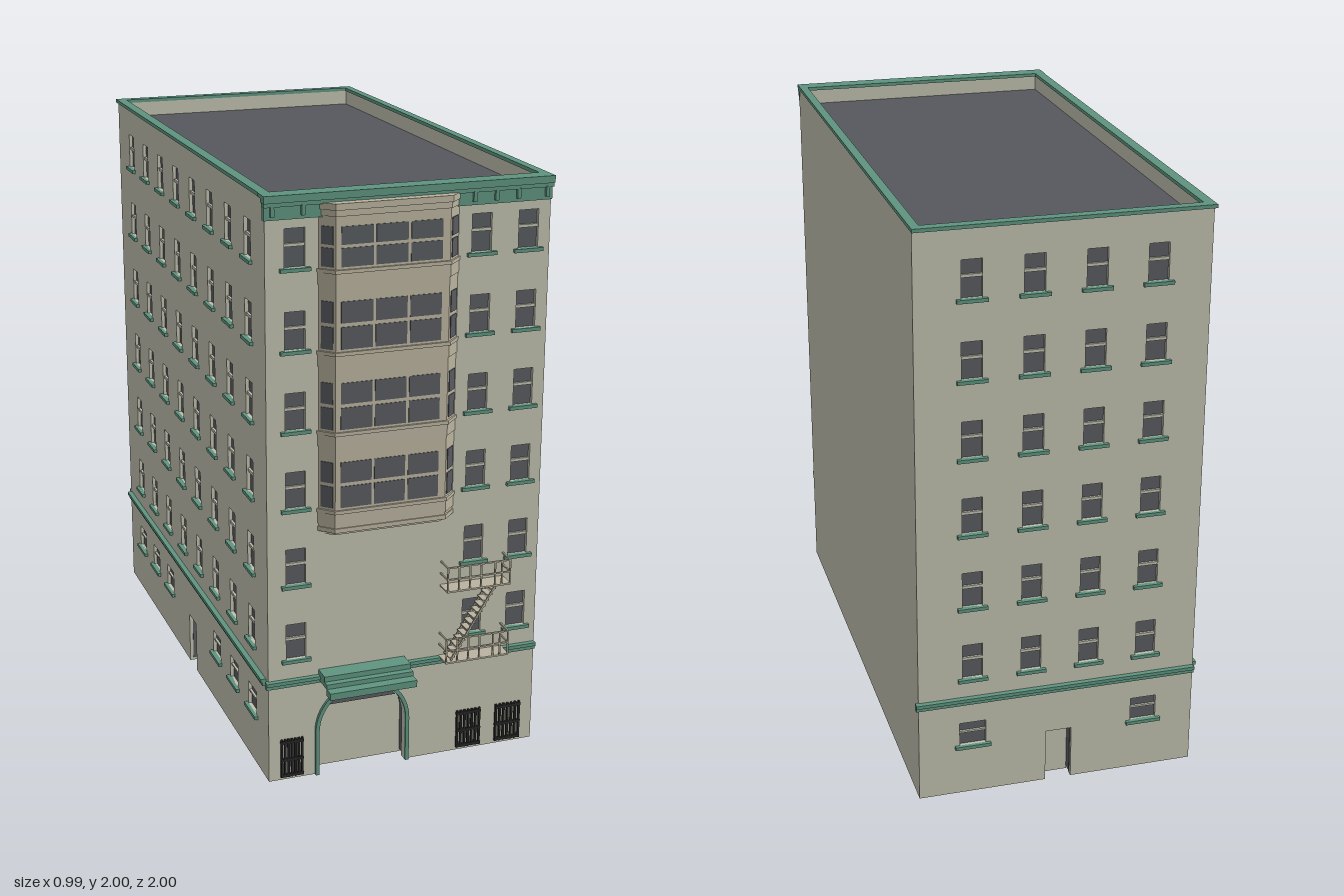
import * as THREE from 'three';

const mat = (name, color, side = THREE.FrontSide) => {
  const m = new THREE.MeshStandardMaterial({ color, side });
  m.name = name;
  return m;
};

export function createModel() {
  const M = {
    wall: mat('stone wall', 0xbfbfae),
    bay: mat('bay stone', 0xbab39f),
    glass: mat('dark glass', 0x585b60, THREE.DoubleSide),
    roof: mat('roof grey', 0x55585d),
    green: mat('green trim', 0x5f9480),
    iron: mat('black iron', 0x262626),
  };
  const model = new THREE.Group();
  model.name = 'building';

  const add = (parent, name, geo, m) => {
    const mesh = new THREE.Mesh(geo, m);
    mesh.name = name;
    parent.add(mesh);
    return mesh;
  };
  // box given by its limits on each axis
  const box = (parent, name, m, x0, x1, y0, y1, z0, z1) => {
    const mesh = add(parent, name, new THREE.BoxGeometry(x1 - x0, y1 - y0, z1 - z0), m);
    mesh.position.set((x0 + x1) / 2, (y0 + y1) / 2, (z0 + z1) / 2);
    return mesh;
  };

  const T = 0.025;
  const rows = [0.44, 0.705, 0.97, 1.235, 1.5, 1.765];

  const rectPath = (x0, x1, y0, y1) => new THREE.Path()
    .moveTo(x0, y0).lineTo(x1, y0).lineTo(x1, y1).lineTo(x0, y1).closePath();

  // round-headed opening outline
  const archPath = (P, cx, r, spring) => {
    const p = new P();
    p.moveTo(cx - r, 0).lineTo(cx - r, spring);
    p.absarc(cx, spring, r, Math.PI, 0, true);
    p.lineTo(cx + r, 0);
    return p;
  };

  // a pierced wall; its outer face is local z = 0, facing +z
  const makeWall = (name, x0, x1, o) => {
    const g = new THREE.Group();
    g.name = name;
    model.add(g);
    const s = new THREE.Shape();
    s.moveTo(x0, 0);
    if (o.arch) {
      const { cx, r, spring } = o.arch;
      s.lineTo(cx - r, 0).lineTo(cx - r, spring);
      s.absarc(cx, spring, r, Math.PI, 0, true);
      s.lineTo(cx + r, 0);
    }
    if (o.door !== undefined) {
      const a = o.door - 0.045, b = o.door + 0.045;
      s.lineTo(a, 0).lineTo(a, 0.19).lineTo(b, 0.19).lineTo(b, 0);
      box(g, 'doorPanel', M.wall, a, b, 0, 0.19, -0.05, -0.045);
      for (const x of [a, b]) box(g, 'doorJamb', M.glass, x - 0.002, x + 0.002, 0.01, 0.19, -0.12, -0.012);
    }
    s.lineTo(x1, 0).lineTo(x1, 1.99).lineTo(x0, 1.99).closePath();
    const windowAt = (x, y, w, h) => {
      const a = x - w / 2, b = x + w / 2;
      s.holes.push(rectPath(a, b, y, y + h));
      box(g, 'windowGlass', M.glass, a, b, y, y + h, -0.018, -0.012);
      box(g, 'windowRail', M.wall, a, b, y + h * 0.53, y + h * 0.61, -0.013, -0.004);
      box(g, 'windowSill', M.green, a - 0.016, b + 0.016, y - 0.012, y, -0.005, 0.012);
    };
    for (const x of o.columns) for (const y of rows) windowAt(x, y, 0.068, 0.125);
    for (const x of o.low ?? []) windowAt(x, 0.185, 0.09, 0.085);
    const geo = new THREE.ExtrudeGeometry(s, { depth: T, bevelEnabled: false, curveSegments: 16 });
    add(g, name + 'Panel', geo.translate(0, 0, -T), M.wall);
    // belt course
    box(g, 'beltCourse', M.green, x0 - 0.01, x1, 0.345, 0.37, -0.005, 0.012);
    box(g, 'beltLip', M.green, x0 - 0.01, x1, 0.358, 0.37, -0.005, 0.018);
    return g;
  };

  const arch = { cx: -0.145, r: 0.155, spring: 0.16 };
  const front = makeWall('frontWall', -0.475, 0.485, { columns: [-0.378, 0.248, 0.41], arch });
  front.position.z = 0.88;
  const back = makeWall('backWall', -0.485, 0.475, { columns: [-0.3, -0.1, 0.1, 0.3], low: [-0.3, 0.3], door: 0 });
  back.rotation.y = Math.PI;
  back.position.z = -0.985;
  const cols = Array.from({ length: 8 }, (_, i) => -0.79 + i * 0.213);
  const side = makeWall('rightWall', -0.96, 0.855,
    { columns: cols, low: cols.filter((_, i) => i < 3 || i > 4), door: -0.05 });
  side.rotation.y = -Math.PI / 2;
  side.position.x = -0.475;
  box(model, 'leftWall', M.wall, 0.46, 0.485, 0, 1.99, -0.96, 0.855);

  // roof and parapet cap
  box(model, 'roof', M.roof, -0.45, 0.46, 1.915, 1.935, -0.96, 0.855);
  box(model, 'capRight', M.green, -0.483, -0.448, 1.988, 2, -0.992, 0.88);
  box(model, 'capLeft', M.green, 0.457, 0.486, 1.988, 2, -0.992, 0.88);
  box(model, 'capBack', M.green, -0.448, 0.457, 1.988, 2, -0.992, -0.957);
  box(model, 'capFront', M.green, -0.485, 0.486, 1.988, 2, 0.845, 0.908);

  // front cornice with brackets
  box(model, 'corniceBand', M.green, -0.48, 0.485, 1.92, 1.965, 0.87, 0.889);
  box(model, 'corniceStep', M.green, -0.482, 0.486, 1.962, 1.978, 0.87, 0.898);
  box(model, 'corniceTop', M.green, -0.485, 0.486, 1.976, 1.989, 0.87, 0.906);
  for (const x of [-0.455, -0.355, 0.215, 0.29, 0.365, 0.465])
    box(model, 'corniceBracket', M.green, x - 0.006, x + 0.006, 1.932, 1.965, 0.88, 0.9);

  // entrance arch: surround, recessed panel, transom and inner jambs
  const ring = archPath(THREE.Shape, arch.cx, 0.168, arch.spring);
  ring.lineTo(arch.cx + arch.r, 0).lineTo(arch.cx + arch.r, arch.spring);
  ring.absarc(arch.cx, arch.spring, arch.r, 0, Math.PI, false);
  ring.lineTo(arch.cx - arch.r, 0).closePath();
  add(model, 'archSurround', new THREE.ExtrudeGeometry(ring, { depth: 0.016, bevelEnabled: false, curveSegments: 16 }), M.green)
    .position.z = 0.876;
  const panel = archPath(THREE.Shape, arch.cx, arch.r + 0.005, arch.spring);
  add(model, 'entrancePanel', new THREE.ExtrudeGeometry(panel, { depth: 0.006, bevelEnabled: false }), M.wall)
    .position.z = 0.82;
  const lunette = new THREE.Shape();
  lunette.moveTo(arch.cx - 0.14, 0.225).lineTo(arch.cx + 0.14, 0.225).lineTo(arch.cx + 0.1, 0.278)
    .lineTo(arch.cx - 0.1, 0.278).closePath();
  add(model, 'transomGlass', new THREE.ExtrudeGeometry(lunette, { depth: 0.004, bevelEnabled: false }), M.glass)
    .position.z = 0.827;
  for (const s of [-1, 1]) {
    const x = arch.cx + s * (arch.r + 0.006);
    box(model, 'entranceJamb', M.glass, x - 0.003, x + 0.003, 0.01, 0.22, 0.71, 0.856);
  }

  // stepped canopy above the entrance
  box(model, 'canopyUpper', M.green, -0.3, 0.005, 0.368, 0.388, 0.88, 0.942);
  box(model, 'canopyMiddle', M.green, -0.3, 0.005, 0.352, 0.37, 0.88, 0.965);
  box(model, 'canopyEdge', M.green, -0.3, 0.005, 0.33, 0.354, 0.962, 1);

  // ground floor grilles
  for (const [a, b] of [[-0.435, -0.355], [0.2, 0.29], [0.345, 0.44]]) {
    const n = 7;
    for (let i = 0; i < n; i++) {
      const x = a + 0.004 + (b - a - 0.008) * i / (n - 1);
      box(model, 'grilleBar', M.iron, x - 0.0035, x + 0.0035, 0.01, 0.15, 0.879, 0.888);
    }
    for (const y of [0.012, 0.07, 0.135]) box(model, 'grilleRail', M.iron, a, b, y, y + 0.01, 0.88, 0.889);
  }

  // bay: stacked prisms over a canted plan, grown outward by o
  const bay = new THREE.Group();
  bay.name = 'bayWindow';
  model.add(bay);
  const prism = (name, y0, y1, o, m = M.bay) => {
    const s = new THREE.Shape();
    s.moveTo(-0.3 - o, -0.875).lineTo(-0.3 - o, -0.88).lineTo(-0.258 - o * 0.5, -0.922 - o)
      .lineTo(0.123 + o * 0.5, -0.922 - o).lineTo(0.168 + o, -0.88).lineTo(0.168 + o, -0.875).closePath();
    const geo = new THREE.ExtrudeGeometry(s, { depth: y1 - y0, bevelEnabled: false });
    add(bay, name, geo.rotateX(-Math.PI / 2), m).position.y = y0;
  };
  prism('bayCore', 0.885, 1.95, 0);
  prism('bayFoot', 0.87, 0.89, -0.02);
  prism('bayBase', 0.885, 0.9, 0.004);
  prism('bayCornice', 1.945, 1.966, 0.008);
  prism('bayCorniceLower', 1.925, 1.945, 0.004);
  rows.slice(2).forEach((y, i) => {
    const h = i === 3 ? 0.128 : 0.155;
    prism('baySill', y - 0.02, y - 0.008, 0.007);
    prism('baySpandrel', y - 0.06, y - 0.02, 0.003);
    for (const x of [-0.1875, -0.0725, 0.0435]) {
      for (const [a, b] of [[0, 0.47], [0.55, 1]])
        box(bay, 'bayGlass', M.glass, x - 0.053, x + 0.053, y + h * a, y + h * b, 0.918, 0.924);
    }
    for (const [x, turn] of [[-0.279, -0.785], [0.1455, 0.75]]) {
      for (const [a, b] of [[0, 0.47], [0.55, 1]]) {
        const p = add(bay, 'baySideGlass', new THREE.BoxGeometry(0.042, h * (b - a), 0.005), M.glass);
        p.position.set(x, y + h * (a + b) / 2, 0.901);
        p.rotation.y = turn;
      }
    }
  });

  // fire escape: two railed balconies joined by a stair
  const escape = new THREE.Group();
  escape.name = 'fireEscape';
  model.add(escape);
  const t = 0.0025;
  for (const y of [0.37, 0.63]) {
    box(escape, 'balconyFloor', M.bay, 0.13, 0.36, y - 0.004, y + 0.002, 0.88, 0.945);
    for (const h of [0.043, 0.085]) {
      box(escape, 'balconyRail', M.bay, 0.13, 0.36, y + h - t, y + h + t, 0.94, 0.945);
      for (const x of [0.13, 0.355]) box(escape, 'balconyEndRail', M.bay, x, x + 0.005, y + h - t, y + h + t, 0.88, 0.945);
    }
    for (const x of [0.13, 0.17, 0.21, 0.25, 0.3, 0.325, 0.355])
      box(escape, 'balconyPost', M.bay, x, x + 0.005, y, y + 0.085, 0.94, 0.945);
  }
  const steps = 13;
  for (let i = 0; i < steps; i++) {
    const f = (i + 0.5) / steps, x = 0.15 + 0.155 * f, y = 0.375 + 0.25 * f;
    box(escape, 'stairTread', M.bay, x - 0.011, x + 0.011, y - 0.002, y + 0.002, 0.89, 0.938);
  }
  for (const z of [0.889, 0.939]) {
    const s = add(escape, 'stairStringer', new THREE.BoxGeometry(0.006, Math.hypot(0.155, 0.25), 0.004), M.bay);
    s.position.set(0.2275, 0.5, z);
    s.rotation.z = -Math.atan2(0.155, 0.25);
  }
  return model;
}
